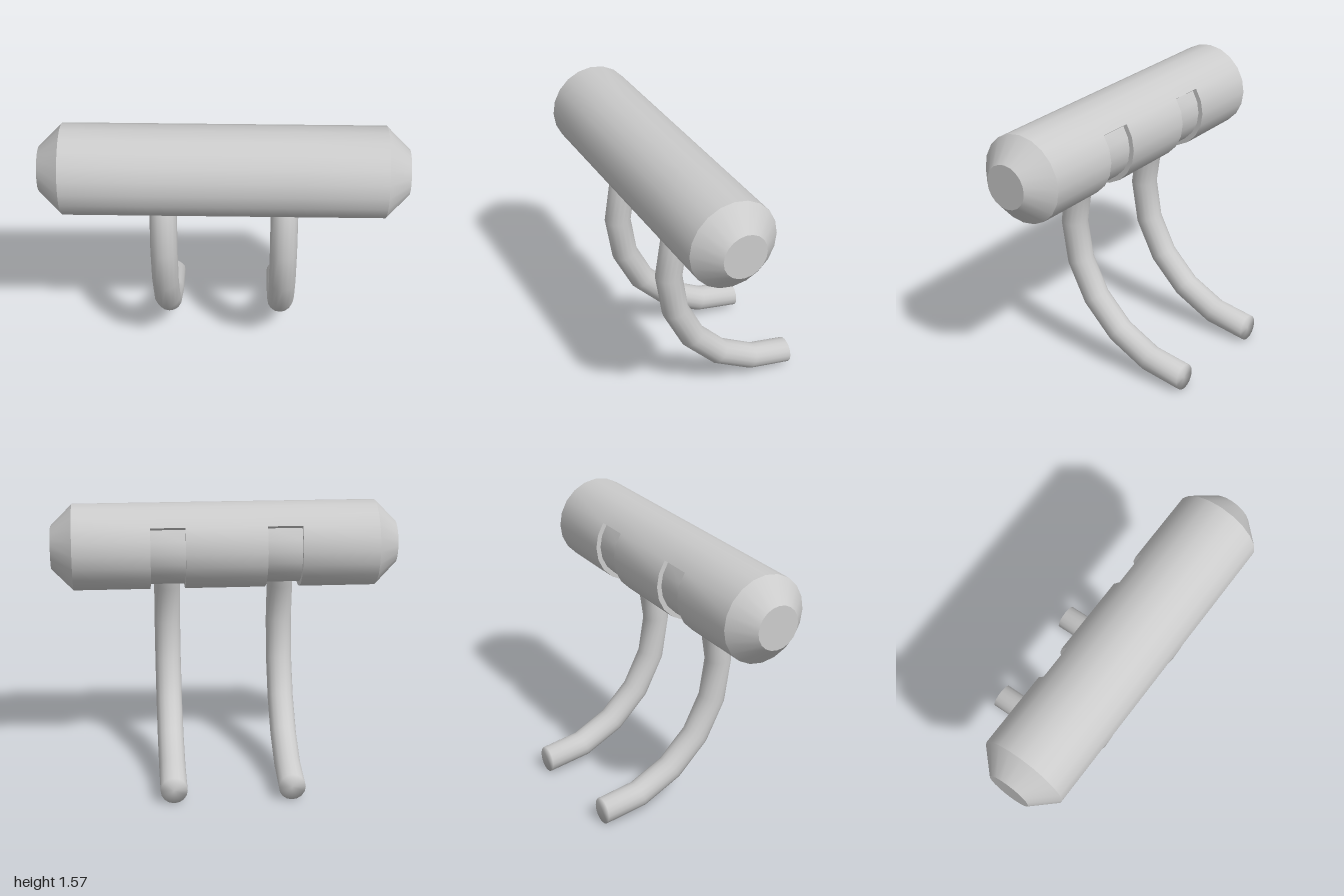
import * as THREE from 'three';
import { toCreasedNormals } from 'three/addons/utils/BufferGeometryUtils.js';

// Skin a series of equal-length point rings and close both ends.
function loft(rings) {
  const n = rings[0].length;
  const points = rings.flat();
  const index = [];
  const tri = new THREE.Triangle();
  const face = (a, b, c) => {
    tri.set(points[a], points[b], points[c]);
    if (tri.getArea() > 1e-8) index.push(a, b, c);
  };
  for (let i = 0; i < rings.length - 1; i++) {
    for (let j = 0; j < n; j++) {
      const k = (j + 1) % n;
      const a = i * n + j, b = i * n + k;
      face(a, b, b + n);
      face(a, b + n, a + n);
    }
  }
  const centre = (ring) => {
    const c = new THREE.Vector3();
    ring.forEach((p) => c.add(p));
    return points.push(c.divideScalar(n)) - 1;
  };
  const start = centre(rings[0]);
  const end = centre(rings[rings.length - 1]);
  const last = (rings.length - 1) * n;
  for (let j = 0; j < n; j++) {
    const k = (j + 1) % n;
    face(start, k, j);
    face(end, last + j, last + k);
  }
  const geometry = new THREE.BufferGeometry().setFromPoints(points);
  geometry.setIndex(index);
  geometry.computeVertexNormals();
  return geometry;
}

// Cross-section of the bar; grooved sections are cut in along the back and underside.
const SIDES = 20, GROOVE_FROM = 8, GROOVE_TO = 17, GROOVE_RADIUS = 0.222;
function barRing(x, radius, grooved) {
  const ring = [];
  const add = (i, r) => {
    const a = (i / SIDES) * Math.PI * 2;
    ring.push(new THREE.Vector3(x, r * Math.cos(a), r * Math.sin(a)));
  };
  const inner = grooved ? GROOVE_RADIUS : radius;
  for (let i = 0; i < SIDES; i++) {
    const inGroove = i > GROOVE_FROM && i < GROOVE_TO;
    if (i === GROOVE_FROM) { add(i, radius); add(i, inner); }
    else if (i === GROOVE_TO) { add(i, inner); add(i, radius); }
    else add(i, inGroove ? inner : radius);
  }
  return ring;
}

// Curved round prong sweeping down and back.
function hookGeometry() {
  const R = 0.768, r = 0.076, sides = 16, step = Math.PI / 10;
  const rings = [];
  for (let s = -2; s <= 5; s++) {
    const t = s * step, ring = [];
    for (let j = 0; j < sides; j++) {
      const a = (j / sides) * Math.PI * 2;
      const d = R + r * Math.cos(a);
      ring.push(new THREE.Vector3(-r * Math.sin(a), 0.846 - d * Math.sin(t), -0.46 + d * Math.cos(t)));
    }
    rings.push(ring);
  }
  return loft(rings);
}

export function createModel() {
  const group = new THREE.Group();
  const material = new THREE.MeshStandardMaterial({ color: 0xcccccc });

  // Bar with chamfered ends and two grooves
  const sections = [[-1, 0.125], [-0.875, 0.25]];
  for (const x of [-0.333, 0.333]) {
    sections.push([x - 0.1, 0.25], [x - 0.1, 0.25, true], [x + 0.1, 0.25, true], [x + 0.1, 0.25]);
  }
  sections.push([0.875, 0.25], [1, 0.125]);
  const barGeometry = toCreasedNormals(loft(sections.map((s) => barRing(...s))), 0.6);
  const bar = new THREE.Mesh(barGeometry, material);
  bar.name = 'bar';
  bar.position.set(0, 1.326, 0.21);
  group.add(bar);

  // Pair of hooks rising into the grooves
  const geometry = hookGeometry();
  for (const [name, x] of [['leftHook', 0.333], ['rightHook', -0.333]]) {
    const hook = new THREE.Mesh(geometry, material);
    hook.name = name;
    hook.position.x = x;
    group.add(hook);
  }
  return group;
}
